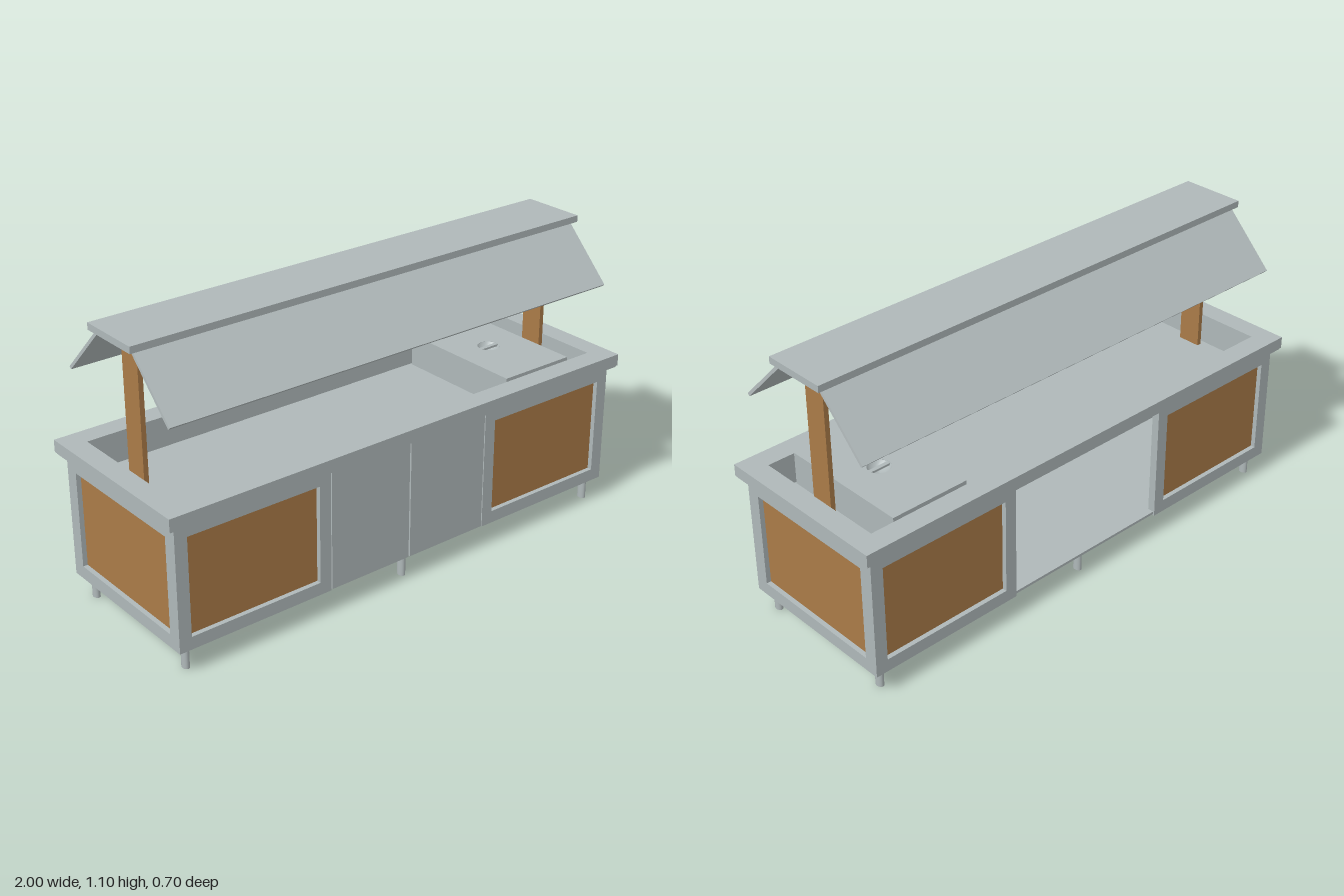
import * as THREE from 'three';

const material = (name, color, side = THREE.FrontSide) => {
  const m = new THREE.MeshStandardMaterial({ color, side });
  m.name = name;
  return m;
};

export function createModel() {
  const steel = material('steel', 0xafb8b9);
  const steelSheet = material('steelSheet', 0xafb8b9, THREE.DoubleSide);
  const shield = material('shield', 0xb4bdbe);
  const wood = material('wood', 0xaa7b48);
  const model = new THREE.Group();
  model.name = 'servingCounter';

  const add = (name, geometry, mat, parent = model) => {
    const mesh = new THREE.Mesh(geometry, mat);
    mesh.name = name;
    parent.add(mesh);
    return mesh;
  };
  // Box given by its minimum and maximum corners
  const box = (name, [x0, y0, z0], [x1, y1, z1], mat, parent) => {
    const mesh = add(name, new THREE.BoxGeometry(x1 - x0, y1 - y0, z1 - z0), mat, parent);
    mesh.position.set((x0 + x1) / 2, (y0 + y1) / 2, (z0 + z1) / 2);
    return mesh;
  };
  const outline = (T, x0, y0, x1, y1) => new T([
    new THREE.Vector2(x0, y0), new THREE.Vector2(x1, y0),
    new THREE.Vector2(x1, y1), new THREE.Vector2(x0, y1)]);
  // Flat plate with a rectangular opening, extruded along +z
  const frame = (outer, inner, depth) => {
    const shape = outline(THREE.Shape, ...outer);
    shape.holes.push(outline(THREE.Path, ...inner));
    return new THREE.ExtrudeGeometry(shape, { depth, bevelEnabled: false });
  };

  // Framed wood panels on both long sides
  for (const s of [-1, 1]) {
    for (const f of [-1, 1]) {
      const group = new THREE.Group();
      group.name = 'sidePanel';
      const x0 = s > 0 ? 0.35 : -0.97, x1 = s > 0 ? 0.97 : -0.35;
      const w0 = s > 0 ? 0.397 : -0.922, w1 = s > 0 ? 0.922 : -0.397;
      add('panelFrame', frame([x0, 0.087, x1, 0.56], [w0, 0.135, w1, 0.505], 0.03), steel, group)
        .position.z = f > 0 ? 0.295 : -0.325;
      const z = f * 0.303;
      box('woodPanel', [w0 - 0.01, 0.125, z - 0.004], [w1 + 0.01, 0.515, z + 0.004], wood, group);
      model.add(group);
    }
    // End panels
    const end = new THREE.Group();
    end.name = 'endPanel';
    add('endFrame', frame([-0.295, 0.087, 0.295, 0.56], [-0.272, 0.137, 0.272, 0.5], 0.03), steel, end)
      .position.z = 0.94;
    box('endWood', [-0.282, 0.127, 0.944], [0.282, 0.51, 0.952], wood, end);
    end.rotation.y = s * Math.PI / 2;
    model.add(end);

    // Front doors, the back bay stays open
    box('door', [s > 0 ? 0.003 : -0.346, 0.09, 0.308], [s > 0 ? 0.346 : -0.003, 0.55, 0.325], steel);
  }

  // Cabinet floor and legs
  box('cabinetFloor', [-0.965, 0.093, -0.32], [0.965, 0.103, 0.307], steel);
  for (const x of [-0.925, 0, 0.922]) for (const z of [-0.275, 0.283]) {
    const leg = add('leg', new THREE.CylinderGeometry(0.0125, 0.0125, 0.095, 16), steel);
    leg.scale.z = 1.4;
    leg.position.set(x, 0.0475, z);
  }

  // Counter rim with a slightly narrower lower lip
  const rim = (name, x, z, y, h) => {
    const mesh = add(name, frame([-x, -z, x, z], [-0.92, -0.268, 0.92, 0.268], h), steel);
    mesh.rotation.x = -Math.PI / 2;
    mesh.position.y = y;
  };
  rim('counterRim', 1, 0.35, 0.56, 0.045);
  rim('rimLip', 0.995, 0.345, 0.553, 0.007);

  // Sunken basin
  box('basinFloor', [-0.92, 0.483, -0.268], [0.92, 0.49, 0.268], steel);
  for (const s of [-1, 1]) {
    const z = s * 0.271, x = s * 0.923;
    box('basinSide', [-0.926, 0.483, z - 0.003], [0.926, 0.56, z + 0.003], steel);
    box('basinEnd', [x - 0.003, 0.483, -0.268], [x + 0.003, 0.56, 0.268], steel);
  }

  // Covered pan with a recessed grip
  const pan = new THREE.Group();
  pan.name = 'coveredPan';
  const lidShape = outline(THREE.Shape, -0.155, -0.26, 0.155, 0.26);
  lidShape.holes.push(new THREE.Path().absarc(0, 0, 0.042, 0, Math.PI * 2, true));
  const lid = add('lid', new THREE.ExtrudeGeometry(lidShape,
    { depth: 0.123, bevelEnabled: false, curveSegments: 16 }), steel, pan);
  lid.rotation.x = -Math.PI / 2;
  lid.position.y = 0.49;
  const bowl = [[0, -0.025], [0.02, -0.022], [0.034, -0.013], [0.042, 0]]
    .map(([r, y]) => new THREE.Vector2(r, y));
  add('gripBowl', new THREE.LatheGeometry(bowl, 24), steelSheet, pan).position.y = 0.612;
  box('gripBar', [-0.042, 0.604, -0.008], [0.042, 0.612, 0.008], steel, pan);
  pan.position.x = 0.665;
  model.add(pan);

  // Overhead canopy on two wood posts joined by a beam
  const canopy = new THREE.Group();
  canopy.name = 'canopy';
  canopy.position.z = 0.005;
  model.add(canopy);
  for (const x of [-0.89, 0.89]) {
    box('post', [x - 0.009, 0.49, -0.045], [x + 0.009, 1.073, 0.045], wood, canopy);
  }
  box('beam', [-0.881, 1.055, -0.045], [0.881, 1.073, 0.045], wood, canopy);
  box('canopyTop', [-0.97, 1.073, -0.124], [0.97, 1.098, 0.124], steel, canopy);

  // Sloping shields with small mounting clips
  for (const s of [-1, 1]) {
    const sheet = add('slopingShield', new THREE.BoxGeometry(1.9, 0.012, 0.272), shield, canopy);
    sheet.position.set(0, 0.974, s * 0.196);
    sheet.rotation.x = s * Math.PI / 4;
    for (const x of [-0.55, 0.55]) {
      const z = s * 0.095;
      box('shieldClip', [x - 0.025, 1.062, z - 0.015], [x + 0.025, 1.073, z + 0.015], steel, canopy);
    }
  }
  return model;
}
